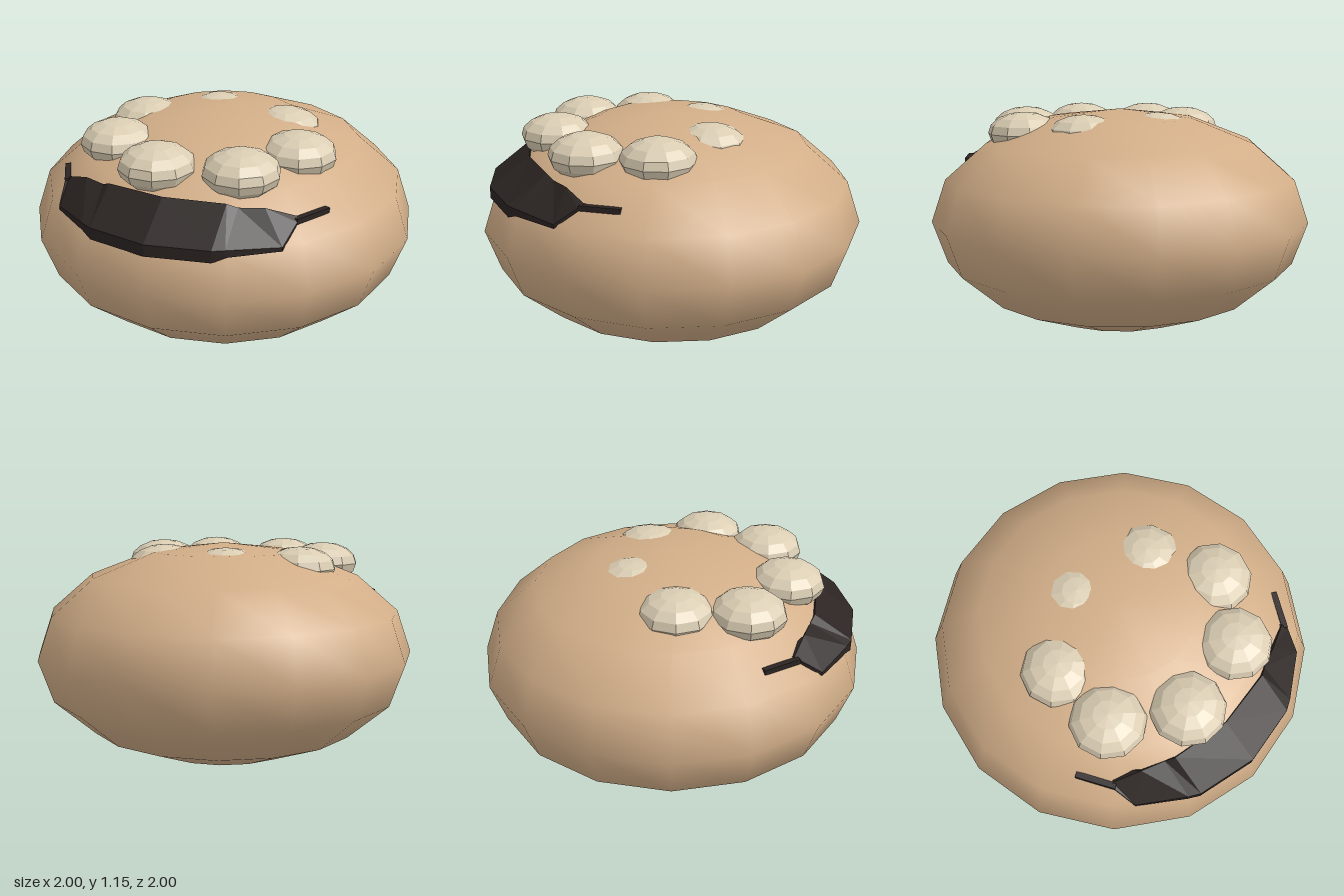
import * as THREE from 'three';

const CENTRE_Y = 0.578;
const SQUASH = 0.577;

function addMesh(parent, name, geometry, material) {
  const mesh = new THREE.Mesh(geometry, material);
  mesh.name = name;
  parent.add(mesh);
  return mesh;
}

// Shell lofted through closed cross-sections, capped at both ends
function loft(sections) {
  const n = sections[0].length;
  const index = [];
  for (let s = 0; s < sections.length - 1; s++) {
    for (let i = 0; i < n; i++) {
      const a = s * n + i, b = s * n + (i + 1) % n;
      index.push(a, a + n, b, b, a + n, b + n);
    }
  }
  const last = (sections.length - 1) * n;
  for (let i = 1; i < n - 1; i++) {
    index.push(0, i, i + 1, last, last + i + 1, last + i);
  }
  const geometry = new THREE.BufferGeometry();
  geometry.setAttribute('position', new THREE.Float32BufferAttribute(sections.flat(2), 3));
  geometry.setIndex(index);
  geometry.computeVertexNormals();
  return geometry;
}

export function createModel() {
  const model = new THREE.Group();
  model.name = 'model';

  const skin = new THREE.MeshStandardMaterial({ color: 0xd2ae88 });
  const pale = new THREE.MeshStandardMaterial({ color: 0xdacdb3, flatShading: true });
  const dark = new THREE.MeshStandardMaterial({ color: 0x2b2422, flatShading: true, side: THREE.DoubleSide });

  // Smooth squashed body
  const body = addMesh(model, 'body', new THREE.SphereGeometry(1, 16, 8), skin);
  body.scale.y = SQUASH;
  body.position.y = CENTRE_Y;

  // Seven faceted domes in an oval ring, sinking into the body at the back
  const domes = new THREE.Group();
  domes.name = 'domes';
  model.add(domes);
  const domeGeometry = new THREE.SphereGeometry(0.19, 10, 8);
  for (let i = 0; i < 7; i++) {
    const angle = (i / 7) * Math.PI * 2;
    const dome = addMesh(domes, 'dome', domeGeometry, pale);
    dome.scale.y = SQUASH;
    dome.position.set(0.47 * Math.cos(angle), 1.035, 0.194 + 0.4 * Math.sin(angle));
  }

  // Dark front band: lower outer, upper outer and inner edge at each station
  const half = [
    [[0, 0.755, 0.957], [0, 0.815, 0.957], [0, 0.962, 0.75]],
    [[0.305, 0.755, 0.9], [0.305, 0.815, 0.9], [0.3, 0.96, 0.705]],
    [[0.365, 0.78, 0.87], [0.36, 0.815, 0.87], [0.345, 0.938, 0.68]],
    [[0.575, 0.78, 0.72], [0.575, 0.8, 0.72], [0.46, 0.938, 0.637]],
    [[0.605, 0.868, 0.608], [0.605, 0.88, 0.608], [0.592, 0.897, 0.578]],
  ];
  // Close each station with an edge buried in the body
  const stations = half.map(([low, high, inner]) =>
    [low, high, inner, [inner[0] * 0.9, low[1], inner[2] * 0.9]]);
  const mirrored = stations.slice(1).reverse().map(
    (section) => section.map(([x, y, z]) => [-x, y, z]));
  addMesh(model, 'frontBand', loft([...mirrored, ...stations]), dark);

  // Thin straps running back from the band ends
  for (const side of [-1, 1]) {
    const from = new THREE.Vector3(side * 0.592, 0.88, 0.6);
    const to = new THREE.Vector3(side * 0.692, 0.88, 0.425);
    const strap = addMesh(model, side > 0 ? 'leftStrap' : 'rightStrap',
      new THREE.BoxGeometry(0.03, 0.026, from.distanceTo(to)), dark);
    strap.position.copy(from).lerp(to, 0.5);
    strap.lookAt(to);
  }

  return model;
}
